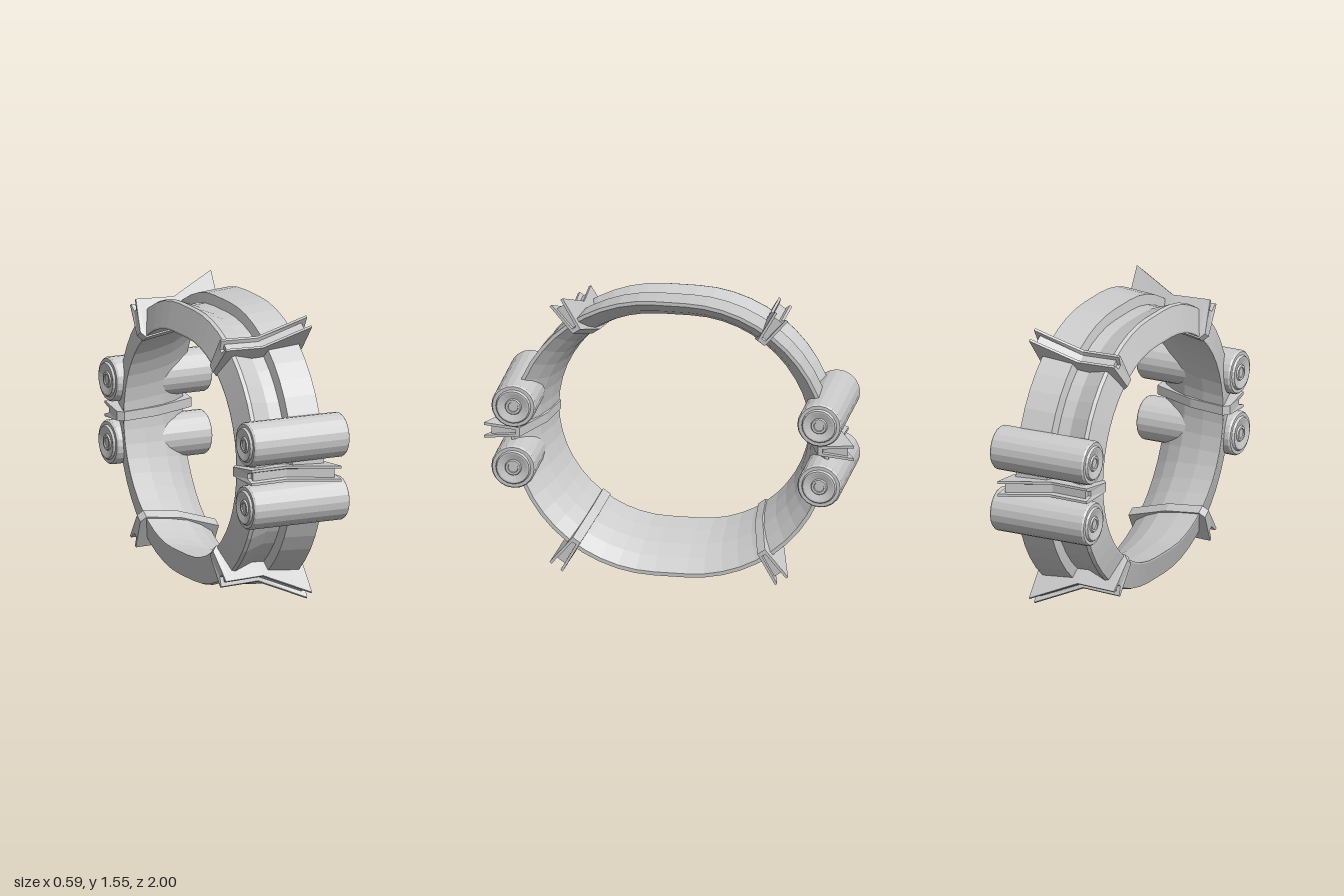
import * as THREE from 'three';

const CY = 0.776;   // height of the ring's axis
const OFF = 0.085;  // each half ring is shifted this far along z

const material = new THREE.MeshStandardMaterial({ color: 0xcccccc, flatShading: true });

// Skin a list of equal-length cross-sections; cap is a triangle list for the end faces
function loft(sections, closed, cap = []) {
  const n = sections[0].length, m = sections.length, index = [];
  for (let i = 0; i < (closed ? m : m - 1); i++) {
    for (let j = 0; j < n; j++) {
      const k = (j + 1) % n, next = ((i + 1) % m) * n;
      const a = i * n + j, b = i * n + k, c = next + k, d = next + j;
      index.push(a, b, c, a, c, d);
    }
  }
  const last = (m - 1) * n;
  for (const [a, b, c] of cap) index.push(a, c, b, last + a, last + b, last + c);
  const g = new THREE.BufferGeometry();
  g.setAttribute('position', new THREE.Float32BufferAttribute(sections.flat(2), 3));
  g.setIndex(index);
  const flat = g.toNonIndexed();
  flat.computeVertexNormals();
  return flat;
}

function addMesh(parent, geometry, name) {
  const mesh = new THREE.Mesh(geometry, material);
  mesh.name = name;
  parent.add(mesh);
  return mesh;
}

// Grooved hoop: an (x, radius) profile swept round two half circles
function hoopGeometry() {
  const profile = [
    // outside: steep left edge, groove, wide flange
    [-0.26, 0.603], [-0.22, 0.74], [-0.2, 0.747], [-0.09, 0.705], [-0.02, 0.708],
    [-0.01, 0.763], [0.17, 0.776],
    // inside: a throat that flares towards +x
    [0.17, 0.756], [0.09, 0.695], [0, 0.648], [-0.13, 0.613], [-0.26, 0.593],
  ];
  const sections = [], steps = 24;
  for (const side of [1, -1]) {
    for (let i = 0; i <= steps; i++) {
      const t = (i / steps - 0.5) * Math.PI + (side < 0 ? Math.PI : 0);
      sections.push(profile.map(([x, r]) =>
        [x, CY + r * Math.sin(t), side * OFF + r * Math.cos(t)]));
    }
  }
  return loft(sections, true);
}

// Clamp: wraps the hoop; its flared edge has a shallow channel, open deeper at both ends
function clampGeometry() {
  const stations = [ // x inner, x outer, r inner, r outer, channel floor
    [-0.29, -0.272, 0.615, 0.8, 0.75],
    [-0.262, -0.252, 0.583, 0.799, 0.75],
    [-0.262, -0.252, 0.583, 0.799, 0.778],
    [-0.05, -0.05, 0.617, 0.79, 0.77],
    [0.18, 0.18, 0.711, 0.903, 0.878],
    [0.18, 0.18, 0.711, 0.903, 0.745],
    [0.205, 0.205, 0.722, 0.915, 0.745],
  ];
  const sections = stations.map(([xi, xo, ri, ro, rf]) => {
    const floorWidth = 0.012 + 0.017 * Math.max(0, (rf - 0.745) / (ro - 0.745));
    const half = [[xi, 0.025, ri], [xo, 0.043, ro], [xo, 0.029, ro], [xo, floorWidth, rf]];
    const mirrored = half.map(([x, y, z]) => [x, -y, z]).reverse();
    return [...half, ...mirrored];
  });
  const cap = [[0, 1, 2], [0, 2, 3], [0, 3, 4], [0, 4, 7], [4, 5, 7], [5, 6, 7]];
  return loft(sections, false, cap);
}

// Canister: chamfered cylinder along x with a dished end and a central button
function canisterGeometry() {
  const end = [
    [0.12, 0.272], [0.113, 0.282], [0.095, 0.282], [0.088, 0.294], [0.08, 0.294],
    [0.045, 0.284], [0.04, 0.292], [0.028, 0.292], [0.026, 0.286], [0, 0.286],
  ];
  const points = [
    ...end.map(([r, h]) => new THREE.Vector2(r, -h)).reverse(),
    ...end.map(([r, h]) => new THREE.Vector2(r, h)),
  ];
  return new THREE.LatheGeometry(points, 20).rotateZ(-Math.PI / 2);
}

export function createModel() {
  const model = new THREE.Group();
  model.name = 'clampedRing';
  addMesh(model, hoopGeometry(), 'hoop');

  const clamp = clampGeometry(), canister = canisterGeometry();
  for (const side of [1, -1]) {
    const label = side > 0 ? 'front' : 'back';

    // Three clamps fan out from the centre of each half ring
    for (const [place, degrees] of [['Lower', -55], ['Middle', 0], ['Upper', 55]]) {
      const mesh = addMesh(model, clamp, label + place + 'Clamp');
      mesh.position.set(0, CY, side * OFF);
      mesh.rotation.x = -THREE.MathUtils.degToRad(degrees + (side < 0 ? 180 : 0));
    }

    // A pair of canisters straddles the middle clamp
    for (const [place, dy] of [['Lower', -0.172], ['Upper', 0.172]]) {
      const mesh = addMesh(model, canister, label + place + 'Canister');
      mesh.position.set(0, CY + dy, side * 0.827);
    }
  }
  return model;
}
